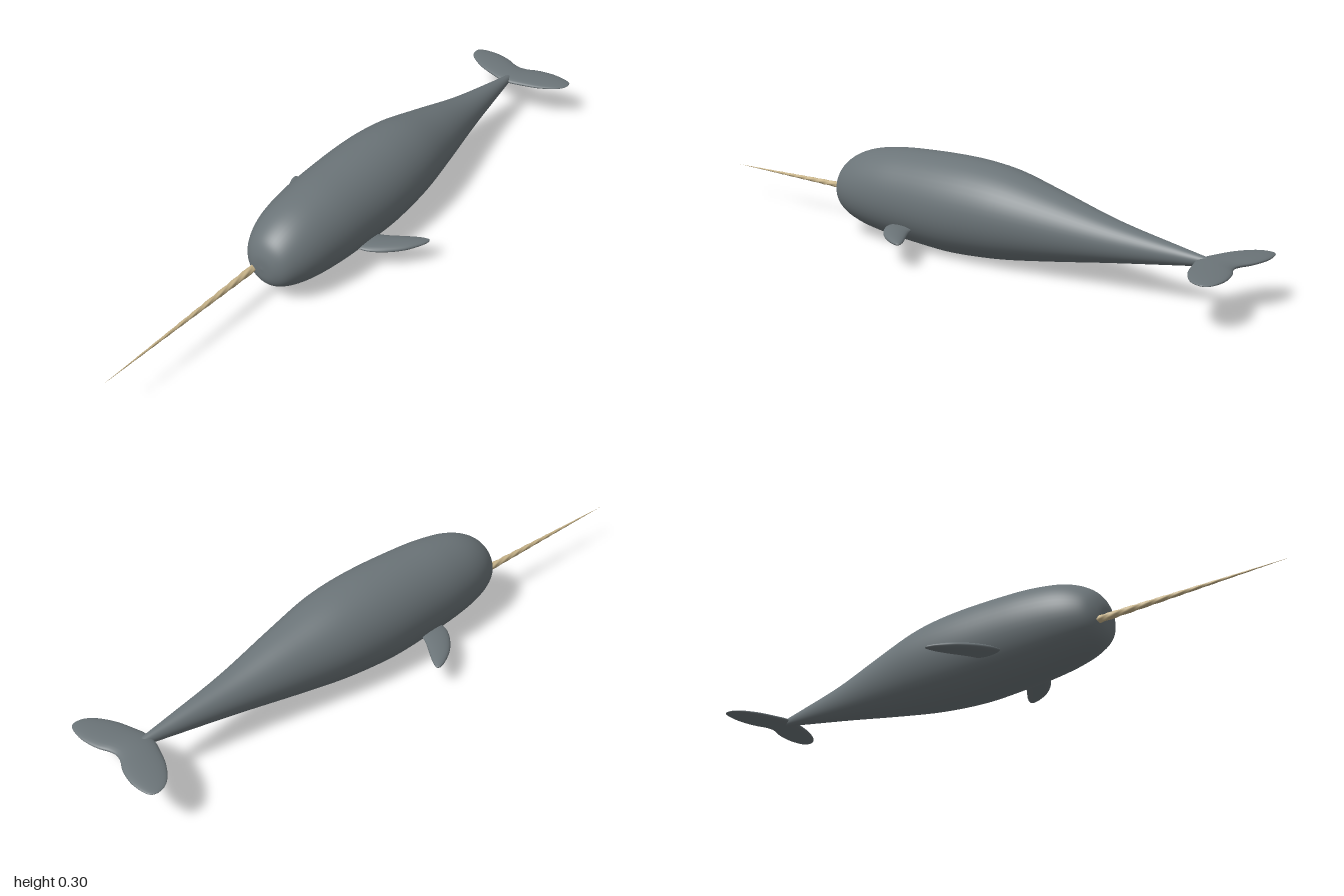
import * as THREE from 'three';

// Skin a list of closed rings (arrays of Vector3, counterclockwise about the travel direction)
function loft(rings) {
  const n = rings[0].length, index = [];
  for (let i = 0; i < rings.length - 1; i++) {
    for (let j = 0; j < n; j++) {
      const k = (j + 1) % n;
      const a = i * n + j, b = i * n + k, c = a + n, d = b + n;
      index.push(a, b, c, b, d, c);
    }
  }
  const geometry = new THREE.BufferGeometry().setFromPoints(rings.flat());
  geometry.setIndex(index);
  geometry.computeVertexNormals();
  return geometry;
}

const ring = (n, point) => Array.from({ length: n }, (_, j) => point((j / n) * Math.PI * 2));

// Smooth a short table of 3-value stations
const smooth = (stations, n) =>
  new THREE.CatmullRomCurve3(stations.map(s => new THREE.Vector3(...s))).getPoints(n);

// Flat fin spanning z; stations are [z, leading x, trailing x]
function fin(stations, n, y, thickness) {
  return loft(smooth(stations, n).map(({ x: z, y: lead, z: trail }) => {
    const rx = Math.max(0, (trail - lead) / 2), cx = (lead + trail) / 2;
    const ry = thickness(z, rx);
    return ring(24, a => new THREE.Vector3(cx + rx * Math.cos(a), y + ry * Math.sin(a), z));
  }));
}

const mirrorZ = stations => stations.map(([z, l, t]) => [-z, l, t]).reverse();

export function createModel() {
  const skin = new THREE.MeshStandardMaterial({ color: 0x6b7478 });
  skin.name = 'slate grey skin';
  const ivory = new THREE.MeshStandardMaterial({ color: 0xc8b48a });
  ivory.name = 'tan ivory';

  const model = new THREE.Group();
  model.name = 'tuskedWhale';
  const add = (name, geometry, material) => {
    const mesh = new THREE.Mesh(geometry, material);
    mesh.name = name;
    model.add(mesh);
  };

  // Body: stations are [x, top y, bottom y]
  const profile = [
    [-0.425, 0.135, 0.135], [-0.42, 0.18, 0.092], [-0.40, 0.219, 0.064], [-0.36, 0.25, 0.044],
    [-0.30, 0.274, 0.028], [-0.20, 0.291, 0.014], [-0.08, 0.298, 0.006], [0.05, 0.3, 0.001],
    [0.15, 0.296, 0.006], [0.25, 0.283, 0.016], [0.40, 0.246, 0.039], [0.60, 0.194, 0.073],
    [0.80, 0.157, 0.105], [0.88, 0.143, 0.118], [0.93, 0.133, 0.129], [0.935, 0.131, 0.131],
  ];
  add('body', loft(smooth(profile, 90).map(({ x, y: top, z: bottom }) => {
    const r = Math.max(0, (top - bottom) / 2), cy = (top + bottom) / 2;
    return ring(48, a => new THREE.Vector3(x, cy + r * Math.cos(a), r * 0.97 * Math.sin(a)));
  })), skin);

  // Tusk: tapering shaft with twisted flutes, set to one side of the snout
  const tuskRings = [];
  for (let i = 0; i <= 160; i++) {
    const t = i / 160, r = 0.0115 * t;
    tuskRings.push(ring(16, a => {
      const rr = r * (1 + 0.1 * Math.cos(4 * a + t * 75));
      return new THREE.Vector3(-1 + 0.62 * t, 0.118 + rr * Math.cos(a), -0.037 + rr * Math.sin(a));
    }));
  }
  add('tusk', loft(tuskRings), ivory);

  // Swept flippers
  const flipper = [
    [0.10, -0.13, -0.045], [0.14, -0.122, -0.03], [0.17, -0.105, -0.012], [0.20, -0.08, 0.008],
    [0.23, -0.046, 0.027], [0.25, -0.012, 0.036], [0.26, 0.01, 0.038], [0.265, 0.03, 0.03],
  ];
  const flipperThickness = z =>
    0.0125 * Math.sqrt(Math.max(0, 1 - ((Math.abs(z) - 0.18) / 0.085) ** 2));
  add('leftFlipper', fin(flipper, 30, 0.077, flipperThickness), skin);
  add('rightFlipper', fin(mirrorZ(flipper), 30, 0.077, flipperThickness), skin);

  // Tail flukes, one piece with a shallow notch
  const half = [
    [0.025, 0.862, 0.972], [0.06, 0.872, 0.988], [0.11, 0.889, 0.999], [0.15, 0.911, 0.998],
    [0.176, 0.932, 0.992], [0.188, 0.95, 0.984], [0.192, 0.969, 0.969],
  ];
  add('tailFlukes', fin([...mirrorZ(half), [0, 0.86, 0.967], ...half], 60, 0.131,
    z => 0.0125 * Math.sqrt(Math.max(0, 1 - (z / 0.192) ** 2))), skin);

  return model;
}
